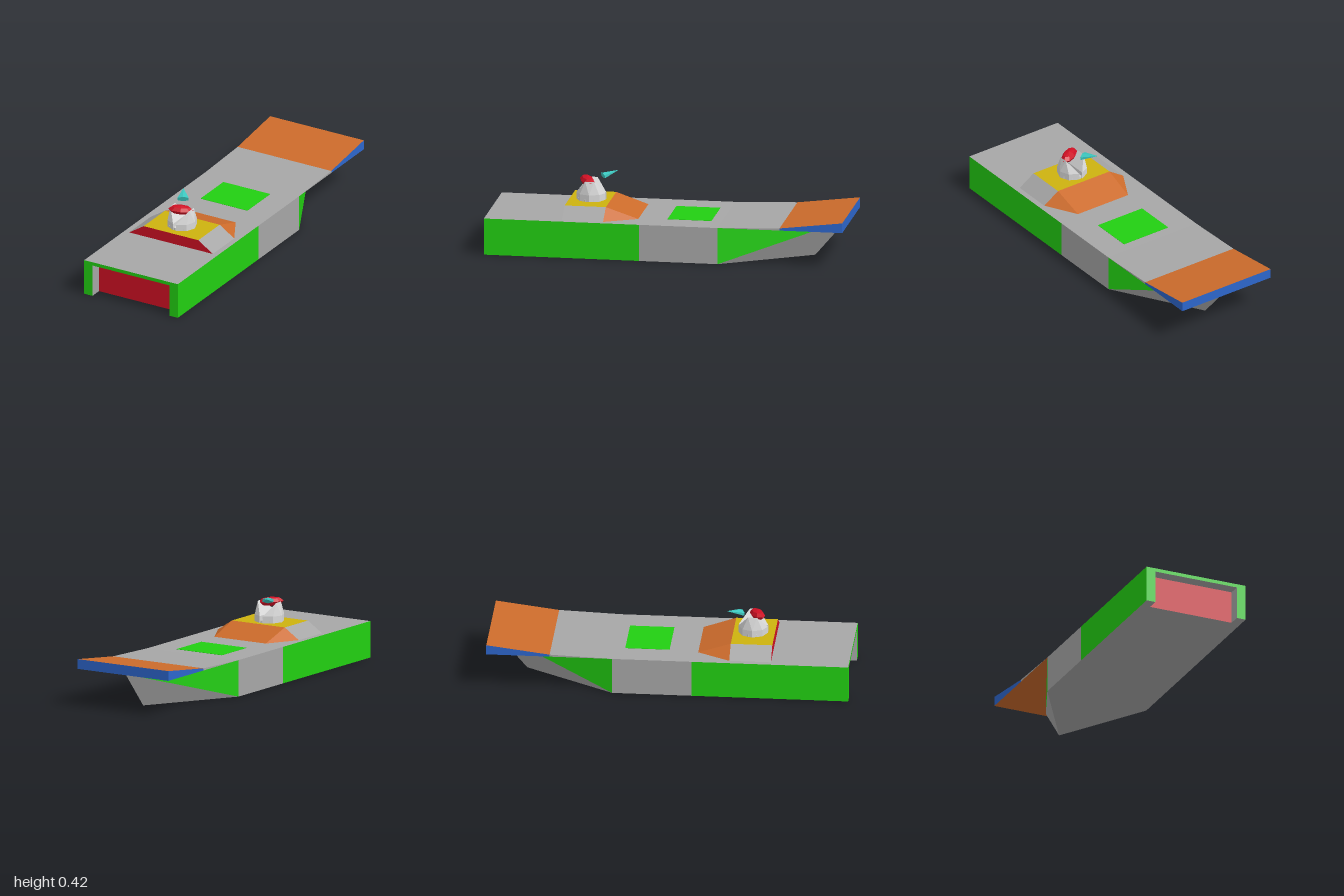
import * as THREE from 'three';
import { ConvexGeometry } from 'three/addons/geometries/ConvexGeometry.js';

const paint = (name, color) => {
  const m = new THREE.MeshStandardMaterial({ color });
  m.name = name;
  m.flatShading = true;
  return m;
};

// Flat polygons, each a loop of corners counter-clockwise from outside
function panels(name, material, polygons) {
  const pos = [];
  for (const p of polygons)
    for (let i = 1; i < p.length - 1; i++) pos.push(...p[0], ...p[i], ...p[i + 1]);
  const g = new THREE.BufferGeometry();
  g.setAttribute('position', new THREE.Float32BufferAttribute(pos, 3));
  g.computeVertexNormals();
  const mesh = new THREE.Mesh(g, material);
  mesh.name = name;
  return mesh;
}

// A polygon together with its mirror image across x = 0
const both = (p) => [p, p.map(([x, y, z]) => [-x, y, z]).reverse()];

export function createModel() {
  const root = new THREE.Group();
  root.name = 'barge';
  const gray = paint('hull gray', 0xa6a6a6);
  const green = paint('green', 0x22cf12);
  const red = paint('red', 0xd01024);
  const orange = paint('orange', 0xcc6b2b);
  const yellow = paint('yellow', 0xcdb20f);
  const blue = paint('blue', 0x2d66cc);
  const teal = paint('teal', 0x3cc8c0);
  const white = paint('pale gray', 0xd8d8d8);

  const W = 0.3, H = 0.205;             // half width, deck height
  const MID = 0.135, BOW = -0.305;      // where side colours change, where the bow starts
  const IN = 0.247, LID = 0.185, DEEP = 0.93; // front recess
  const KINK = 0.217, LIP = 0.26;       // ramp heights

  // Hull: deck, side strips, bottom and the pointed bow
  root.add(panels('deck', gray, [
    [[-W, H, 1], [W, H, 1], [W, H, BOW], [-W, H, BOW]],
    [[-W, H, BOW], [W, H, BOW], [W, KINK, -0.65], [-W, KINK, -0.65]],
    ...both([[W, H, BOW], [W, H, -0.65], [W, KINK, -0.65]]),
  ]));
  root.add(panels('hullSidesAndBottom', gray, [
    ...both([[W, 0, MID], [W, 0, BOW], [W, H, BOW], [W, H, MID]]),
    ...both([[W, 0, BOW], [0, 0, -0.8], [0, H, -0.975]]),
    [[0, 0, -0.8], [W, 0, BOW], [W, 0, DEEP], [-W, 0, DEEP], [-W, 0, BOW]],
    ...both([[IN, 0, DEEP], [W, 0, DEEP], [W, 0, 1], [IN, 0, 1]]),
    ...both([[IN, 0, DEEP], [IN, 0, 1], [IN, LID, 1], [IN, LID, DEEP]]),
    [[-IN, LID, DEEP], [IN, LID, DEEP], [IN, LID, 1], [-IN, LID, 1]],
  ]));
  root.add(panels('greenSides', green, [
    ...both([[W, 0, 1], [W, 0, MID], [W, H, MID], [W, H, 1]]),
    ...both([[W, 0, BOW], [0, H, -0.975], [W, H, BOW]]),
  ]));
  root.add(panels('frontFrame', green, [
    ...both([[IN, 0, 1], [W, 0, 1], [W, H, 1], [IN, H, 1]]),
    [[-IN, LID, 1], [IN, LID, 1], [IN, H, 1], [-IN, H, 1]],
  ]));
  root.add(panels('frontDoor', red, [
    [[-IN, 0, DEEP], [IN, 0, DEEP], [IN, LID, DEEP], [-IN, LID, DEEP]],
  ]));

  // Rising ramp at the rear
  root.add(panels('ramp', orange, [
    [[-W, KINK, -0.65], [W, KINK, -0.65], [W, LIP, -1], [-W, LIP, -1]],
    [[-W, H, -1], [W, H, -1], [W, H, BOW], [-W, H, BOW]],
  ]));
  root.add(panels('rampEdges', blue, [
    ...both([[W, H, -0.65], [W, H, -1], [W, LIP, -1], [W, KINK, -0.65]]),
    [[W, H, -1], [-W, H, -1], [-W, LIP, -1], [W, LIP, -1]],
  ]));

  // Painted hatch on the deck
  const hatch = new THREE.Mesh(new THREE.BoxGeometry(0.3, 0.003, 0.245), green);
  hatch.name = 'hatch';
  hatch.position.set(0, H, -0.1225);
  root.add(hatch);

  // Low cabin with sloping sides and back
  const T = 0.266, F = 0.57, B = 0.34, E = 0.16, tx = 0.175, bx = 0.268;
  const cabin = new THREE.Group();
  cabin.name = 'cabin';
  cabin.add(
    panels('cabinFront', red, [[[-bx, H, F], [bx, H, F], [tx, T, F], [-tx, T, F]]]),
    panels('cabinRoof', yellow, [[[-tx, T, F], [tx, T, F], [tx, T, B], [-tx, T, B]]]),
    panels('cabinSides', gray, both([[bx, H, F], [bx, H, B], [tx, T, B], [tx, T, F]])),
    panels('cabinBack', orange, [
      [[0.17, H, E], [-0.17, H, E], [-tx, T, B], [tx, T, B]],
      ...both([[bx, H, B], [0.17, H, E], [tx, T, B]]),
    ]),
  );
  root.add(cabin);

  // Turret: low ring with two tapering posts
  const turret = new THREE.Group();
  turret.name = 'turret';
  turret.position.set(0, T, 0.45);
  const ring = new THREE.Mesh(new THREE.CylinderGeometry(0.078, 0.078, 0.014, 10), white);
  ring.name = 'turretRing';
  ring.position.y = 0.007;
  turret.add(ring);
  for (const s of [1, -1]) {
    const pts = [];
    for (let i = 0; i < 5; i++) {
      const a = (-83 + i * 41.5) * Math.PI / 180;
      const x = s * 0.082 * Math.cos(a), z = 0.082 * Math.sin(a);
      pts.push(new THREE.Vector3(x, 0, z), new THREE.Vector3(x, 0.038, z));
    }
    for (const z of [-0.025, 0.025]) pts.push(new THREE.Vector3(s * 0.06, 0.11, z));
    const post = new THREE.Mesh(new ConvexGeometry(pts), white);
    post.name = s > 0 ? 'leftPost' : 'rightPost';
    turret.add(post);
  }

  // Faceted red gem resting across the posts
  const gem = new THREE.Mesh(new THREE.SphereGeometry(1, 8, 4), red);
  gem.name = 'gem';
  gem.scale.set(0.07, 0.026, 0.036);
  gem.rotation.set(0, 0.5, -0.08);
  gem.position.set(0.004, 0.105, 0.022);
  turret.add(gem);

  // Flattened teal spike pointing up and back
  const tip = new THREE.Vector3(-0.075, 0.151, -0.14);
  const base = new THREE.Vector3(-0.03, 0.127, -0.06);
  const cone = new THREE.ConeGeometry(0.036, tip.distanceTo(base), 6);
  cone.scale(1, 1, 0.45);
  cone.rotateX(-Math.PI / 2);
  const spike = new THREE.Mesh(cone, teal);
  spike.name = 'spike';
  spike.position.copy(tip).add(base).multiplyScalar(0.5);
  spike.rotation.order = 'YXZ';
  const d = tip.clone().sub(base).normalize();
  spike.rotation.set(Math.asin(d.y), Math.atan2(-d.x, -d.z), 0);
  turret.add(spike);
  root.add(turret);

  return root;
}
